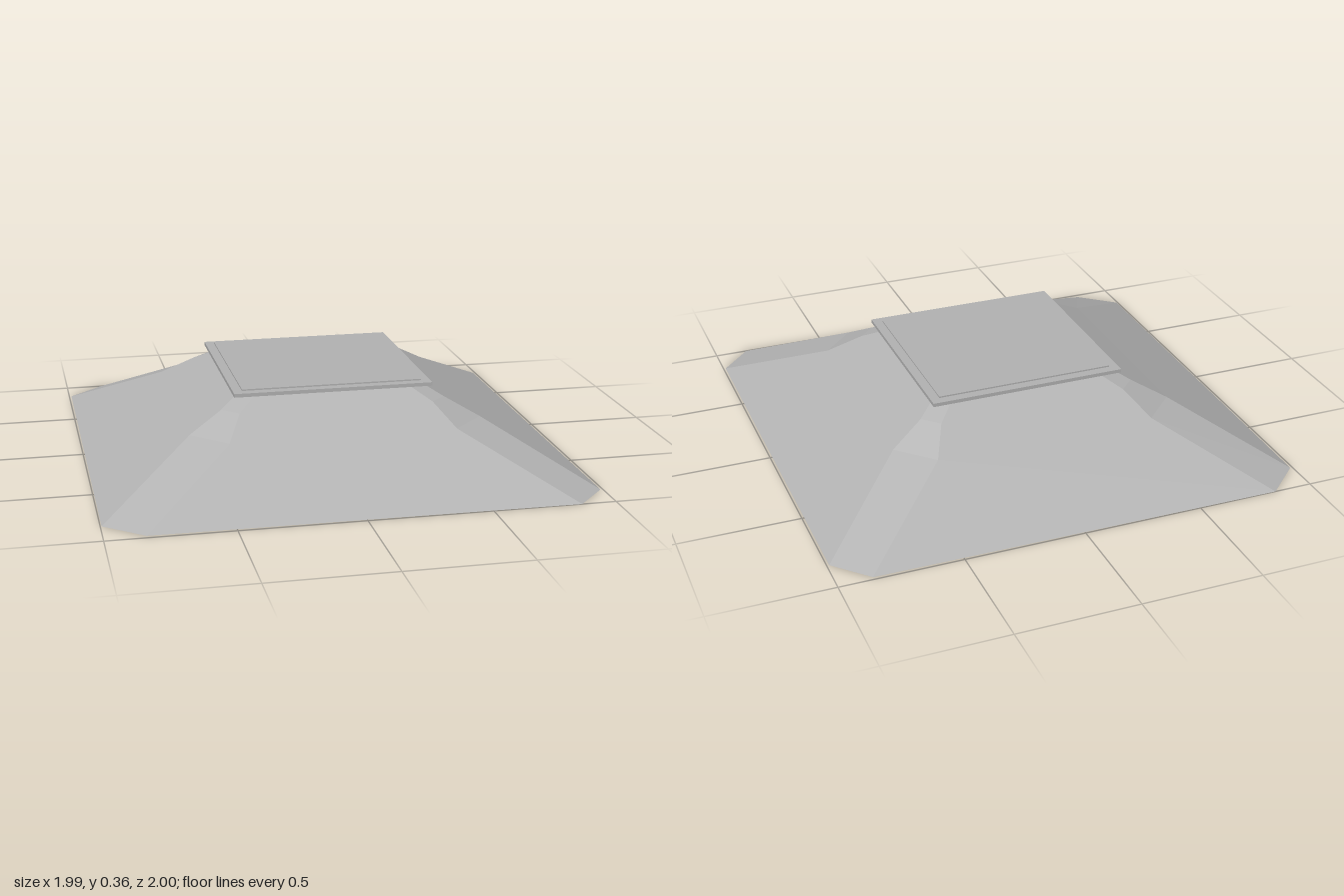
import * as THREE from 'three';

const stone = new THREE.MeshStandardMaterial({ color: 0xb3b3b3, flatShading: true });
stone.name = 'stone grey';

// Octagonal ring: square of half width w with corners cut back to c
function ring(w, c, y) {
  return [[-c, -w], [c, -w], [w, -c], [w, c], [c, w], [-c, w], [-w, c], [-w, -c]]
    .map(([x, z]) => [x, y, z]);
}

// Closed solid lofted through a stack of rings, flat faced
function loft(rings) {
  const pos = [];
  const tri = (a, b, c) => pos.push(...a, ...b, ...c);
  const n = rings[0].length;
  for (let r = 0; r < rings.length - 1; r++) {
    for (let i = 0; i < n; i++) {
      const j = (i + 1) % n;
      const a = rings[r][i], b = rings[r][j], c = rings[r + 1][j], d = rings[r + 1][i];
      tri(a, c, b);
      tri(a, d, c);
    }
  }
  const bottom = rings[0], top = rings[rings.length - 1];
  for (let i = 1; i < n - 1; i++) {
    tri(bottom[0], bottom[i], bottom[i + 1]);
    tri(top[0], top[i + 1], top[i]);
  }
  const geo = new THREE.BufferGeometry();
  geo.setAttribute('position', new THREE.Float32BufferAttribute(pos, 3));
  geo.computeVertexNormals();
  return geo;
}

export function createModel() {
  const group = new THREE.Group();
  group.name = 'steppedPedestal';

  const add = (name, geo, y = 0) => {
    const mesh = new THREE.Mesh(geo, stone);
    mesh.name = name;
    mesh.position.y = y;
    group.add(mesh);
  };

  // Sloped base with a slightly skewed footprint
  const foot = [[-0.84, -1], [0.86, -0.985], [0.99, -0.85], [0.99, 0.86],
    [0.86, 1], [-0.84, 0.98], [-0.995, 0.85], [-0.99, -0.86]].map(([x, z]) => [x, 0, z]);
  add('slopedBase', loft([foot, ring(0.605, 0.465, 0.21), ring(0.465, 0.4, 0.287), ring(0.37, 0.315, 0.34)]));

  // Overhanging slab and the thin raised panel on it
  add('topSlab', new THREE.BoxGeometry(0.826, 0.015, 0.826), 0.3455);
  add('topPanel', new THREE.BoxGeometry(0.75, 0.007, 0.75), 0.3555);

  return group;
}
